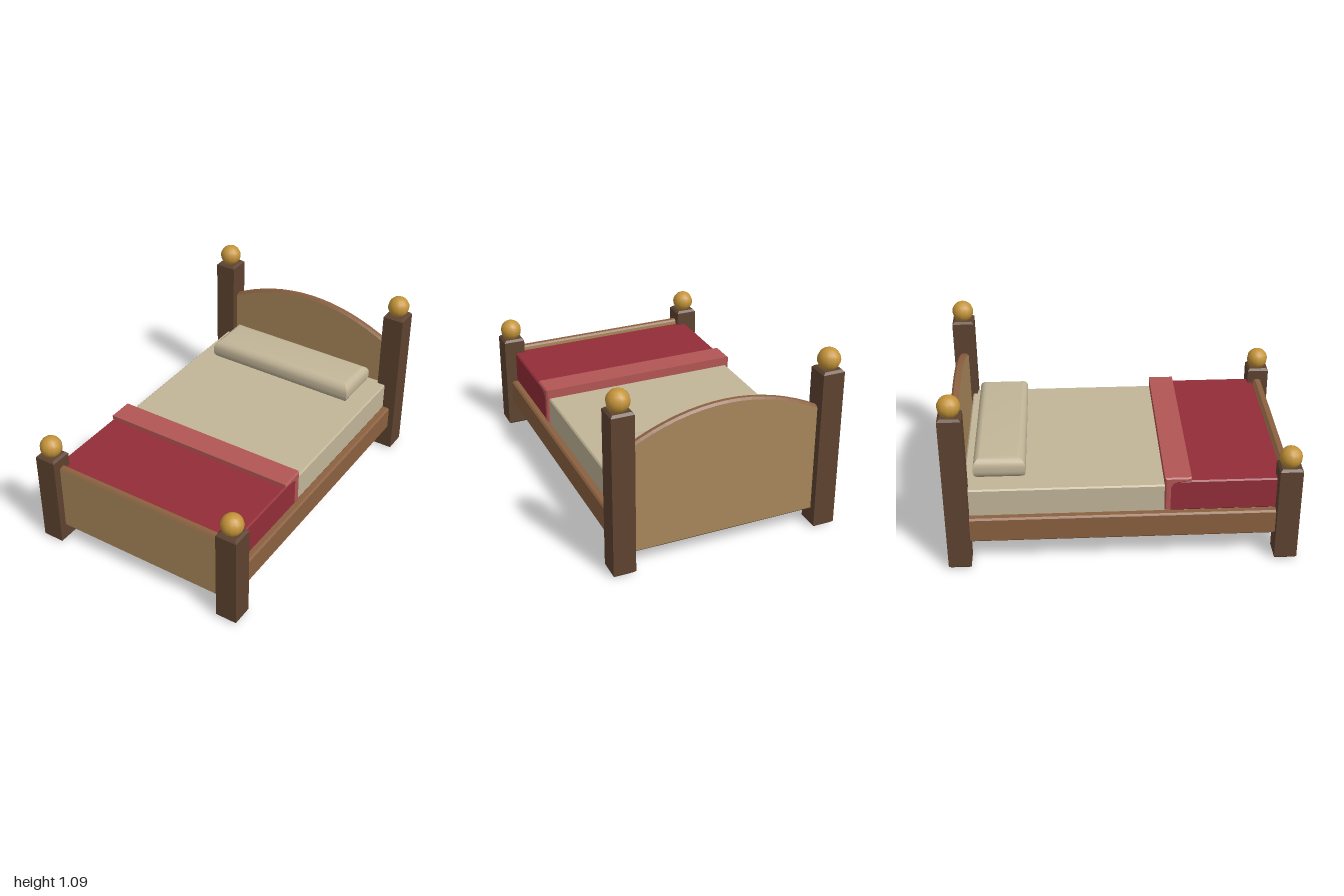
import * as THREE from 'three';
import { toCreasedNormals } from 'three/addons/utils/BufferGeometryUtils.js';

const mat = (name, color) => new THREE.MeshStandardMaterial({ name, color });

export function createModel() {
  const bed = new THREE.Group();
  bed.name = 'bed';

  const darkWood = mat('dark wood', 0x5e4330);
  const railWood = mat('rail wood', 0x8b6040);
  const panelWood = mat('panel wood', 0xa8875a);
  const brass = mat('brass', 0xc4943a);
  const linen = mat('linen', 0xc2b598);
  const red = mat('red blanket', 0x932d38);
  const rose = mat('rose fold', 0xb25654);

  const add = (name, geometry, material, x = 0, y = 0, z = 0) => {
    const mesh = new THREE.Mesh(geometry, material);
    mesh.name = name;
    mesh.position.set(x, y, z);
    bed.add(mesh);
    return mesh;
  };

  // Extrusion whose bevel stays inside the outline and the given thickness
  const bevelled = (shape, thickness, bevel, segments = 1) => {
    const g = new THREE.ExtrudeGeometry(shape, {
      depth: thickness - 2 * bevel, bevelEnabled: true, bevelThickness: bevel,
      bevelSize: bevel, bevelOffset: -bevel, bevelSegments: segments, curveSegments: 16,
    });
    return g.translate(0, 0, bevel);
  };

  // Block standing on y = 0 with its top and bottom edges bevelled
  const block = (w, h, d, bevel, segments = 1) => {
    const s = new THREE.Shape();
    s.moveTo(-w / 2, -d / 2).lineTo(w / 2, -d / 2).lineTo(w / 2, d / 2).lineTo(-w / 2, d / 2).closePath();
    return bevelled(s, h, bevel, segments).rotateX(-Math.PI / 2);
  };

  // Posts with ball finials
  for (const [end, z, height] of [['head', -0.935, 0.975], ['foot', 0.935, 0.6]]) {
    for (const [side, x] of [['Left', 0.61], ['Right', -0.61]]) {
      add(`${end}Post${side}`, block(0.13, height, 0.13, 0.013), darkWood, x, 0, z);
      add(`${end}Finial${side}`, new THREE.SphereGeometry(0.065, 12, 10), brass, x, height + 0.05, z);
    }
  }

  // Side rails
  for (const [side, x] of [['Left', 0.614], ['Right', -0.614]]) {
    add(`rail${side}`, block(0.052, 0.155, 1.78, 0.01), railWood, x, 0.155, 0);
  }

  // Arched headboard: tan faces, darker rim
  const arch = new THREE.Shape();
  arch.moveTo(-0.57, 0.1).lineTo(0.57, 0.1).lineTo(0.57, 0.75);
  arch.quadraticCurveTo(0, 1.062, -0.57, 0.75).closePath();
  add('headboard', bevelled(arch, 0.045, 0.012), [panelWood, railWood], 0, 0, -0.957);

  // Straight footboard
  const foot = new THREE.Shape();
  foot.moveTo(-0.57, 0.1).lineTo(0.57, 0.1).lineTo(0.57, 0.53).lineTo(-0.57, 0.53).closePath();
  add('footboard', bevelled(foot, 0.045, 0.01), [panelWood, railWood], 0, 0, 0.908);

  // Bedding
  add('mattress', block(1.19, 0.255, 1.8, 0.008), linen, 0, 0.22, 0);
  add('blanket', block(1.21, 0.195, 0.65, 0.008), red, 0, 0.31, 0.58);
  const pillow = toCreasedNormals(block(0.98, 0.13, 0.298, 0.052, 5), 0.6);
  add('pillow', pillow, linen, 0, 0.475, -0.694);

  // Turned-back fold: a band on top with flaps running down the sides
  const fold = new THREE.Shape([
    [0.235, 0.317], [0.27, 0.317], [0.27, 0.46], [0.285, 0.485], [0.31, 0.497],
    [0.385, 0.503], [0.385, 0.53], [0.235, 0.53],
  ].map(([z, y]) => new THREE.Vector2(-z, y)));
  const foldGeometry = bevelled(fold, 1.224, 0.008).translate(0, 0, -0.612).rotateY(Math.PI / 2);
  add('blanketFold', foldGeometry, rose);

  return bed;
}
